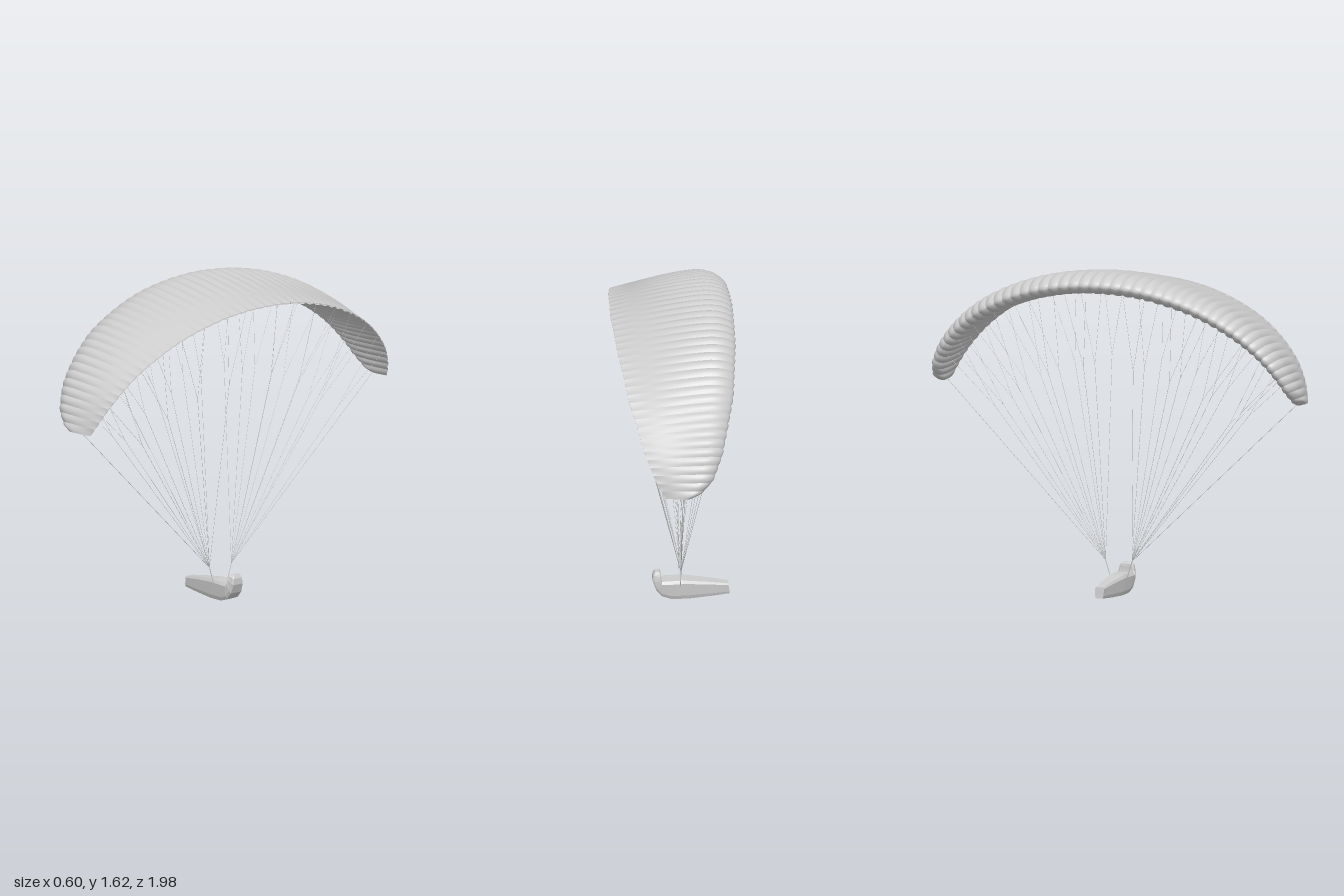
import * as THREE from 'three';
import { mergeGeometries } from 'three/addons/utils/BufferGeometryUtils.js';

const CELLS = 50, STEPS = 6, TIP = THREE.MathUtils.degToRad(81);
const V = (x, y, z = 0) => new THREE.Vector3(x, y, z);
const lerp = THREE.MathUtils.lerp;

// Section from trailing edge over the top, round the nose and back underneath
const airfoil = new THREE.CatmullRomCurve3([
  V(1, -0.01), V(0.75, 0.025), V(0.5, 0.053), V(0.3, 0.069), V(0.17, 0.071), V(0.06, 0.053), V(0, 0.02),
  V(0.04, -0.012), V(0.15, -0.027), V(0.4, -0.03), V(0.7, -0.023), V(1, -0.013),
]).getPoints(33);

// Planform: [span angle in degrees, leading edge x, trailing edge x]
const PLAN = [[0, -0.298, 0.297], [20, -0.29, 0.285], [42, -0.258, 0.247], [64, -0.19, 0.18],
  [74, -0.14, 0.135], [79, -0.085, 0.105], [81, -0.035, 0.09]];

function edges(theta) {
  const deg = Math.min(Math.abs(THREE.MathUtils.radToDeg(theta)), 81);
  let i = 0;
  while (i < PLAN.length - 2 && deg > PLAN[i + 1][0]) i++;
  const [a, b] = [PLAN[i], PLAN[i + 1]];
  const t = (deg - a[0]) / (b[0] - a[0]);
  return [lerp(a[1], b[1], t), lerp(a[2], b[2], t)];
}

// Point on the arched wing at span angle, chord fraction u and height h off the chord
function wingPoint(theta, u, h) {
  const [le, te] = edges(theta);
  const thick = 0.35 + 0.65 * (te - le) / 0.595;
  const n = V(0, Math.cos(theta) / 0.65, Math.sin(theta) / 0.965).normalize();
  return V(lerp(le, te, u), 0.9 + 0.65 * Math.cos(theta), 0.965 * Math.sin(theta))
    .addScaledVector(n, h * thick);
}

// Skin stretched over a list of rings of points
function loft(rings, closed) {
  const n = rings[0].length, index = [];
  for (let i = 0; i < rings.length - 1; i++) {
    for (let j = 0; j < (closed ? n : n - 1); j++) {
      const k = (j + 1) % n;
      const a = i * n + j, b = i * n + k, c = a + n, d = b + n;
      index.push(a, b, c, b, d, c);
    }
  }
  const geo = new THREE.BufferGeometry().setFromPoints(rings.flat());
  geo.setIndex(index);
  geo.computeVertexNormals();
  return geo;
}

const centre = (ring) => {
  const c = ring.reduce((s, p) => s.add(p), V(0, 0)).divideScalar(ring.length);
  return ring.map(() => c.clone());
};

// Canopy: inflated cells, each its own patch so the rib seams stay sharp
function canopyGeometry() {
  const section = (theta, puff) => airfoil.map((p) => wingPoint(
    theta, p.x - 0.012 * puff * (1 - p.x) ** 4, 0.02 + (p.y - 0.02) * (0.9 + 0.19 * puff)));
  const parts = [];
  for (let c = 0; c < CELLS; c++) {
    const rings = [];
    for (let s = 0; s <= STEPS; s++) {
      const f = s / STEPS;
      rings.push(section(lerp(-TIP, TIP, (c + f) / CELLS), Math.sin(Math.PI * f)));
    }
    parts.push(loft(rings, false));
  }
  // Tip caps and thin trailing edge
  const left = section(TIP, 0), right = section(-TIP, 0);
  parts.push(loft([left, centre(left)], true), loft([centre(right), right], true));
  const trailing = [];
  for (let c = 0; c <= CELLS; c++) {
    const s = section(lerp(-TIP, TIP, c / CELLS), 0);
    trailing.push([s[s.length - 1], s[0]]);
  }
  parts.push(loft(trailing, false));
  return mergeGeometries(parts);
}

// Pod: [bottom x, bottom y, top x, top y, half width], curling up into the backrest
const POD = [
  [-0.288, 0.02, -0.282, 0.074, 0.024], [-0.2, 0.012, -0.18, 0.09, 0.033], [-0.08, 0.004, -0.06, 0.104, 0.043],
  [0, 0.006, 0.03, 0.102, 0.046], [0.045, 0.022, 0.046, 0.1, 0.046], [0.074, 0.055, 0.048, 0.112, 0.044],
  [0.09, 0.1, 0.049, 0.128, 0.039], [0.088, 0.13, 0.051, 0.14, 0.033], [0.078, 0.147, 0.058, 0.147, 0.02],
];

function podGeometry() {
  const outline = [[0, 0.75], [0, -0.75], [0.2, -0.9], [0.85, -1], [1, -0.8], [1, 0.8], [0.85, 1], [0.2, 0.9]];
  const rings = POD.map(([bx, by, tx, ty, w]) =>
    outline.map(([t, s]) => V(lerp(bx, tx, t), lerp(by, ty, t), s * w)));
  return loft([centre(rings[0]), ...rings, centre(rings[rings.length - 1])], true);
}

function cord(a, b, r) {
  const geo = new THREE.CylinderGeometry(r, r, a.distanceTo(b), 4, 1, true);
  const dir = b.clone().sub(a).normalize();
  geo.applyQuaternion(new THREE.Quaternion().setFromUnitVectors(V(0, 1), dir));
  const mid = a.clone().add(b).multiplyScalar(0.5);
  return geo.translate(mid.x, mid.y, mid.z);
}

// Suspension lines of one side: main lines that fork below the canopy
function lineGeometry(side) {
  const parts = [], rad = (d) => side * THREE.MathUtils.degToRad(d);
  const riser = V(-0.045, 0.17, side * 0.07);
  for (const [u, h] of [[0.12, -0.024], [0.45, -0.029], [0.96, -0.014]]) {
    for (const pair of [[6, 13], [22, 31], [39, 49], [58, 67]]) {
      const ends = pair.map((d) => wingPoint(rad(d), u, h));
      const fork = riser.clone().lerp(ends[0].clone().add(ends[1]).multiplyScalar(0.5), 0.72);
      parts.push(cord(riser, fork, 0.0009));
      for (const end of ends) parts.push(cord(fork, end, 0.0007));
    }
  }
  parts.push(cord(riser, wingPoint(rad(80), 0.4, -0.02), 0.0012));
  return mergeGeometries(parts);
}

export function createModel() {
  const model = new THREE.Group();
  const smooth = new THREE.MeshStandardMaterial({ color: 0xcccccc, side: THREE.DoubleSide });
  const flat = new THREE.MeshStandardMaterial({ color: 0xcccccc, flatShading: true });
  const add = (name, geo, mat) => {
    const mesh = new THREE.Mesh(geo, mat);
    mesh.name = name;
    model.add(mesh);
  };

  add('canopy', canopyGeometry(), smooth);
  add('podHarness', podGeometry(), flat);
  for (const [side, label] of [[1, 'left'], [-1, 'right']]) {
    add(label + 'Lines', lineGeometry(side), smooth);
    add(label + 'Riser', cord(V(-0.045, 0.08, side * 0.042), V(-0.045, 0.17, side * 0.07), 0.002), smooth);
  }
  return model;
}
